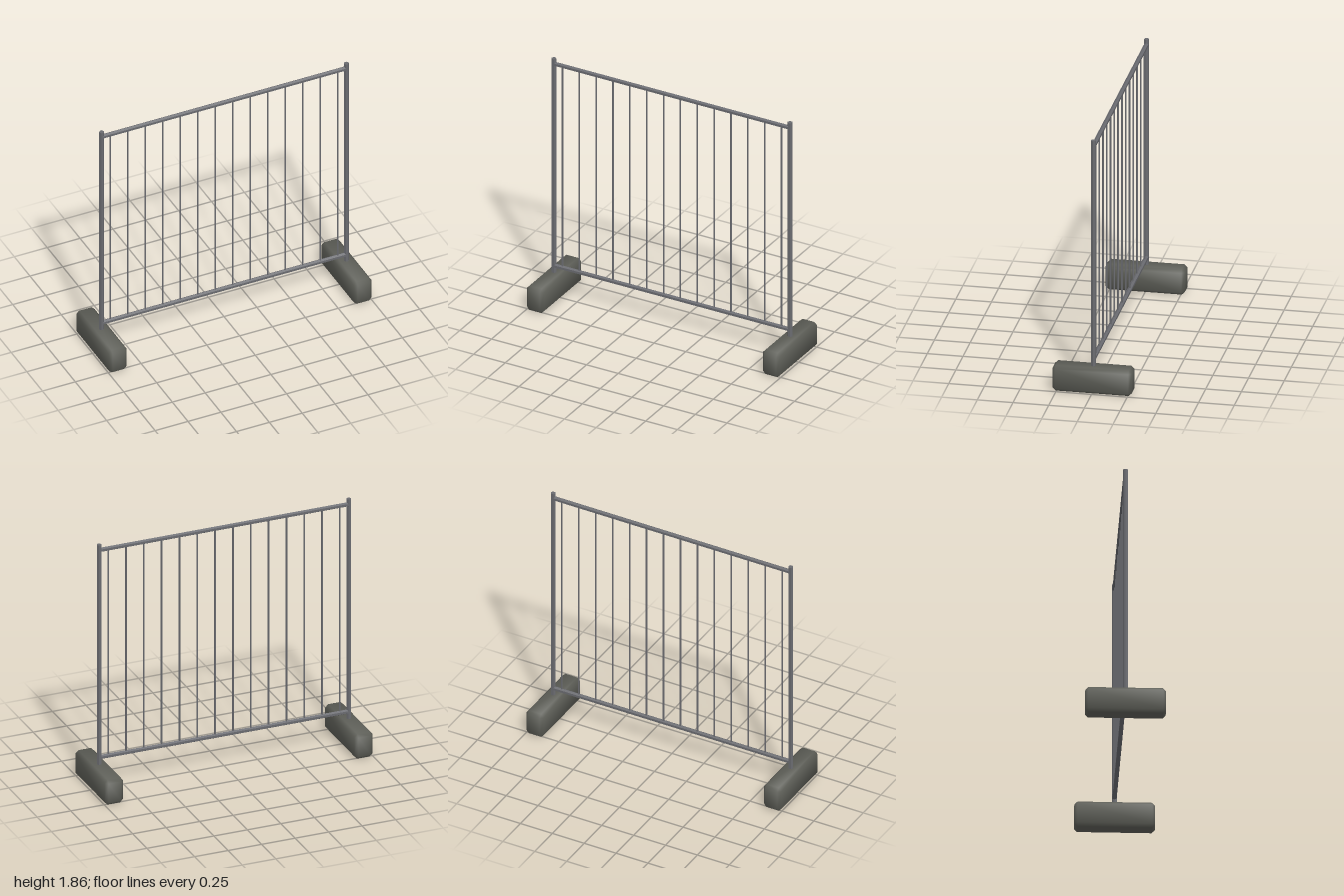
import * as THREE from 'three';
import { ConvexGeometry } from 'three/addons/geometries/ConvexGeometry.js';

const metal = new THREE.MeshStandardMaterial({ color: 0x6a6b70, flatShading: true });
metal.name = 'galvanised steel';
const concrete = new THREE.MeshStandardMaterial({ color: 0x5e5f58 });
concrete.name = 'concrete';

// Hexagonal tube standing upright, with corners pointing along x
function tube(name, radius, length) {
  const geometry = new THREE.CylinderGeometry(radius, radius, length, 6);
  geometry.rotateY(Math.PI / 6);
  const mesh = new THREE.Mesh(geometry, metal);
  mesh.name = name;
  return mesh;
}

// Box with chamfered edges and softly bent normals
function chamferedBox(w, h, d, c) {
  const half = [w / 2, h / 2, d / 2];
  const points = [];
  for (let axis = 0; axis < 3; axis++)
    for (const sx of [-1, 1]) for (const sy of [-1, 1]) for (const sz of [-1, 1]) {
      const p = [sx, sy, sz].map((s, i) => s * (half[i] - (i === axis ? 0 : c)));
      points.push(new THREE.Vector3(...p));
    }
  const geometry = new ConvexGeometry(points);
  const { position, normal } = geometry.attributes;
  const n = new THREE.Vector3();
  for (let v = 0; v < position.count; v++) {
    // The axis on which a corner reaches the full size owns its normal
    const k = half.map((size, i) => {
      const p = position.getComponent(v, i);
      return Math.sign(p) * (Math.abs(p) > size - c / 2 ? 1 : 0.39);
    });
    n.set(...k).normalize();
    normal.setXYZ(v, n.x, n.y, n.z);
  }
  return geometry;
}

export function createModel() {
  const group = new THREE.Group();
  group.name = 'fencePanel';

  // Feet and end posts
  const footGeometry = chamferedBox(0.137, 0.188, 0.556, 0.022);
  for (const [side, s] of [['left', 1], ['right', -1]]) {
    const foot = new THREE.Mesh(footGeometry, concrete);
    foot.name = side + 'Foot';
    foot.position.set(s * 0.9315, 0.094, 0);
    const post = tube(side + 'Post', 0.018, 1.76);
    post.position.set(s * 0.9315, 0.98, 0);
    group.add(foot, post);
  }

  // Horizontal rails
  for (const [name, y] of [['topRail', 1.818], ['bottomRail', 0.239]]) {
    const rail = tube(name, 0.0165, 1.85);
    rail.rotation.z = Math.PI / 2;
    rail.position.y = y;
    group.add(rail);
  }

  // Thin vertical bars
  for (let i = 0; i < 14; i++) {
    const bar = tube('bar' + (i + 1), 0.0065, 1.579);
    bar.position.set((i - 6.5) * 0.133, 1.0285, 0);
    group.add(bar);
  }
  return group;
}
